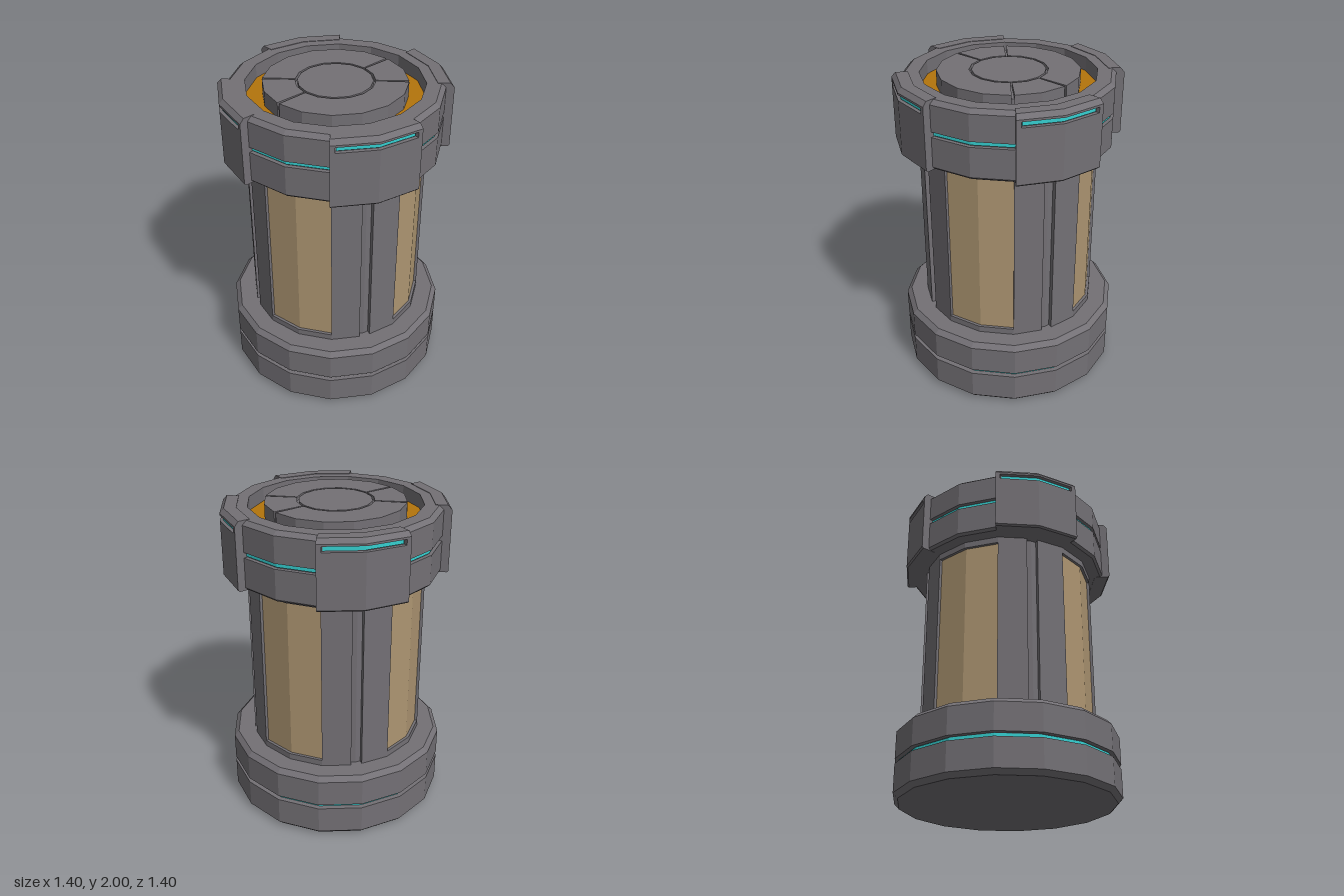
import * as THREE from 'three';

const STEP = 22.5; // sixteen-sided throughout

// Closed (radius, height) profile swept between two angles in degrees, staying on the 16-sided facets.
function sweep(profile, a0 = 0, a1 = 360) {
  const angles = [a0];
  for (let k = Math.floor(a0 / STEP) + 1; k * STEP < a1 - 0.01; k++) angles.push(k * STEP);
  angles.push(a1);
  const rad = Math.PI / 180;
  const at = ([r, y], a) => {
    const mid = (Math.floor(a / STEP) + 0.5) * STEP;
    const s = r * Math.cos(STEP / 2 * rad) / Math.cos((a - mid) * rad);
    return [s * Math.sin(a * rad), y, s * Math.cos(a * rad)];
  };
  const pos = [];
  const tri = (a, b, c) => pos.push(...a, ...b, ...c);
  for (let i = 0; i < angles.length - 1; i++) {
    profile.forEach((p, j) => {
      const q = profile[(j + 1) % profile.length];
      if (p[0] === 0 && q[0] === 0) return;
      const a = at(p, angles[i]), b = at(p, angles[i + 1]);
      const c = at(q, angles[i + 1]), d = at(q, angles[i]);
      if (p[0] > 0) tri(a, b, d);
      if (q[0] > 0) tri(b, c, d);
    });
  }
  // End caps for partial sweeps
  if (a1 - a0 < 359.9) {
    const faces = THREE.ShapeUtils.triangulateShape(profile.map(p => new THREE.Vector2(...p)), []);
    for (const [i, j, k] of faces) {
      const [p, q, s] = [profile[i], profile[j], profile[k]];
      tri(at(p, a0), at(q, a0), at(s, a0));
      tri(at(p, a1), at(s, a1), at(q, a1));
    }
  }
  const g = new THREE.BufferGeometry();
  g.setAttribute('position', new THREE.Float32BufferAttribute(pos, 3));
  g.computeVertexNormals();
  return g;
}

const rect = (r0, r1, y0, y1) => [[r0, y0], [r1, y0], [r1, y1], [r0, y1]];

export function createModel() {
  const model = new THREE.Group();
  const mat = (name, color) => {
    const m = new THREE.MeshStandardMaterial({ color, flatShading: true });
    m.name = name;
    return m;
  };
  const metal = mat('gunmetal grey', 0x737075);
  const tan = mat('tan panel', 0xae9672);
  const amber = mat('amber', 0xb3740c);
  const cyan = mat('cyan glow', 0x35cfd0);
  const add = (name, material, profile, a0, a1) => {
    const mesh = new THREE.Mesh(sweep(profile, a0, a1), material);
    mesh.name = name;
    model.add(mesh);
  };

  // Base with chamfered edges and a glowing groove
  add('base', metal, [[0, 0], [0.67, 0], [0.7, 0.03], [0.7, 0.208], [0.668, 0.208], [0.668, 0.238],
    [0.7, 0.238], [0.7, 0.41], [0.67, 0.44], [0, 0.44]]);
  add('baseLight', cyan, rect(0.66, 0.674, 0.212, 0.234));

  // Body core, its radius is the floor of the vertical grooves
  add('bodyCore', metal, rect(0, 0.53, 0.43, 1.58));

  for (let q = 0; q < 4; q++) {
    const c = q * 90;
    // Columns on both sides of the groove
    add('bodyColumn', metal, rect(0.5, 0.56, 0.43, 1.58), c + 3.6, c + 22.5);
    add('bodyColumn', metal, rect(0.5, 0.56, 0.43, 1.58), c + 67.5, c + 86.4);
    // Recessed panel with bars below and above
    add('panel', tan, rect(0.5, 0.542, 0.48, 1.53), c + 22.5, c + 67.5);
    add('panelSill', metal, rect(0.5, 0.56, 0.43, 0.48), c + 22.5, c + 67.5);
    add('panelLintel', metal, rect(0.5, 0.56, 1.53, 1.58), c + 22.5, c + 67.5);

    // Head clamp with a lit slot near its upper edge
    const t = c + 360;
    add('clamp', metal, [[0.6, 1.568], [0.69, 1.568], [0.7, 1.578], [0.7, 1.918], [0.6, 1.918]], t - 22.5, t + 22.5);
    add('clampTop', metal, [[0.6, 1.952], [0.7, 1.952], [0.7, 1.965], [0.675, 1.993], [0.6, 1.993]], t - 22.5, t + 22.5);
    add('clampSlotEnd', metal, rect(0.6, 0.7, 1.918, 1.952), t - 22.5, t - 20.2);
    add('clampSlotEnd', metal, rect(0.6, 0.7, 1.918, 1.952), t + 20.2, t + 22.5);
    add('clampSlotBack', metal, rect(0.6, 0.676, 1.918, 1.952), t - 20.2, t + 20.2);
    add('clampLight', cyan, rect(0.67, 0.682, 1.923, 1.947), t - 19.6, t + 19.6);
  }

  // Head ring with groove and a sunken top
  add('head', metal, [[0, 1.57], [0.635, 1.57], [0.65, 1.585], [0.65, 1.77], [0.625, 1.77], [0.625, 1.803],
    [0.65, 1.803], [0.65, 1.965], [0.622, 1.99], [0.535, 1.99], [0.535, 1.9], [0, 1.9]]);
  add('headLight', cyan, rect(0.62, 0.632, 1.776, 1.797));
  add('amberRing', amber, rect(0.42, 0.534, 1.899, 1.905));

  // Top plug: core, four segments parted by narrow gaps, and a centre disc
  add('plugCore', metal, rect(0, 0.425, 1.9, 1.975));
  const cuts = [67.5, 112.5, 247.5, 292.5, 427.5];
  for (let i = 0; i < 4; i++) {
    add('plugSegment', metal, rect(0.238, 0.434, 1.9, 2), cuts[i] + 1.1, cuts[i + 1] - 1.1);
  }
  add('plugCentre', metal, rect(0, 0.224, 1.9, 2));

  return model;
}
